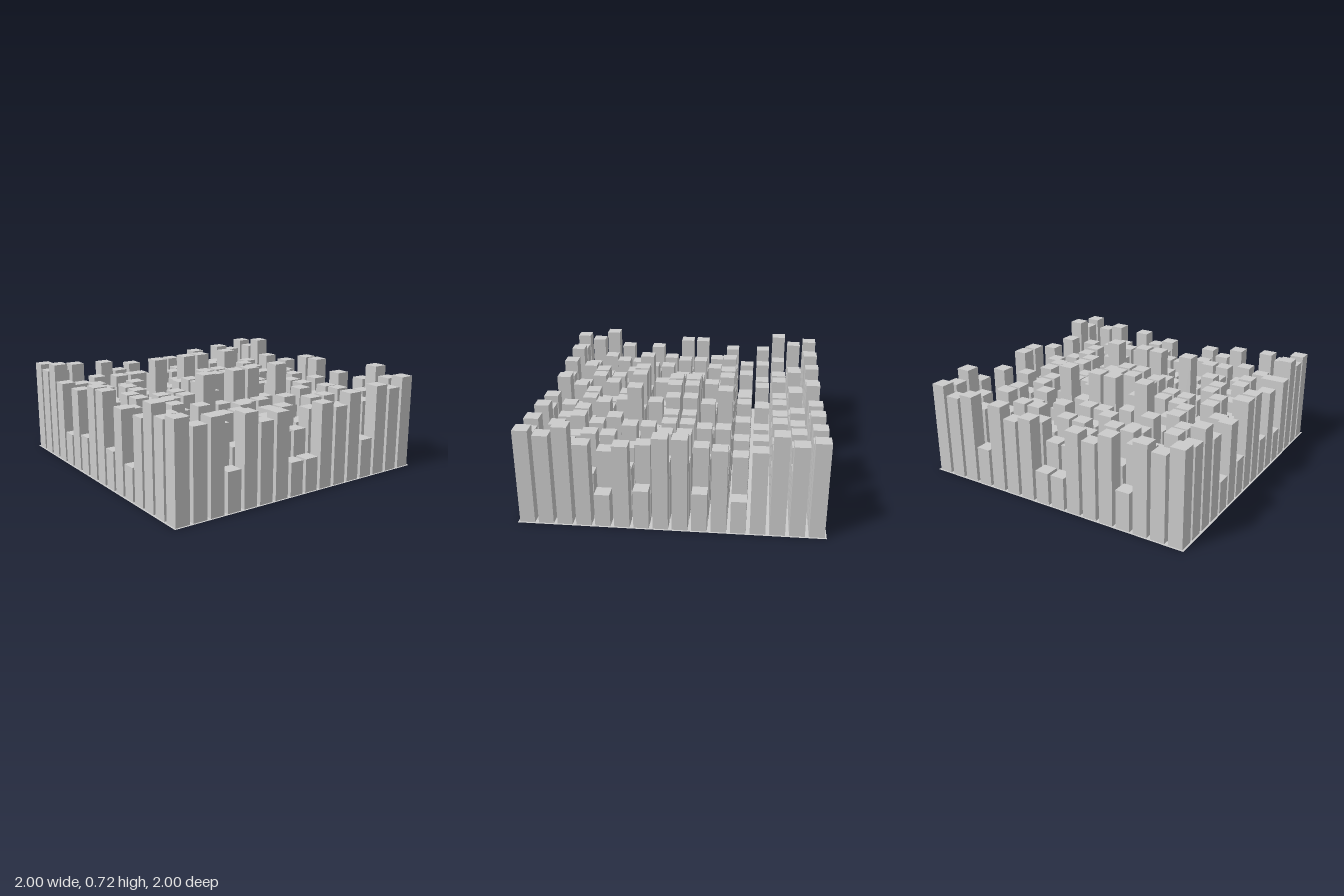
import * as THREE from 'three';
import { mergeGeometries } from 'three/addons/utils/BufferGeometryUtils.js';

const N = 16, PITCH = 2 / N, WIDTH = 0.1;

// One quarter of the block heights, from the outer corner inwards (rows: z, columns: x)
const HEIGHTS = [
  [0.66, 0.63, 0.695, 0.58, 0.23, 0.58, 0.27, 0.645],
  [0.595, 0.40, 0.53, 0.31, 0.48, 0.36, 0.535, 0.42],
  [0.63, 0.50, 0.35, 0.54, 0.535, 0.45, 0.38, 0.56],
  [0.27, 0.535, 0.46, 0.40, 0.33, 0.55, 0.55, 0.36],
  [0.615, 0.37, 0.55, 0.50, 0.55, 0.41, 0.46, 0.52],
  [0.54, 0.48, 0.55, 0.36, 0.44, 0.72, 0.40, 0.53],
  [0.58, 0.52, 0.40, 0.55, 0.38, 0.50, 0.565, 0.605],
  [0.23, 0.395, 0.525, 0.45, 0.52, 0.72, 0.43, 0.65],
];

const centre = (i) => (i + 0.5) * PITCH - 1;
const mirrored = (i) => Math.min(i, N - 1 - i);

// Hollow block, open at the bottom
function hollowBlock(x, z, height) {
  const g = new THREE.BoxGeometry(WIDTH, height, WIDTH);
  const index = Array.from(g.index.array);
  index.splice(18, 6); // remove the bottom face
  g.setIndex(index);
  g.clearGroups();
  return g.translate(x, height / 2, z);
}

// Flat sheet with a square opening under every block
function baseSheet() {
  const shape = new THREE.Shape([
    new THREE.Vector2(-1, -1), new THREE.Vector2(1, -1),
    new THREE.Vector2(1, 1), new THREE.Vector2(-1, 1),
  ]);
  const r = WIDTH / 2;
  for (let i = 0; i < N; i++) {
    for (let j = 0; j < N; j++) {
      const x = centre(i), y = centre(j);
      shape.holes.push(new THREE.Path([
        new THREE.Vector2(x - r, y - r), new THREE.Vector2(x - r, y + r),
        new THREE.Vector2(x + r, y + r), new THREE.Vector2(x + r, y - r),
      ]));
    }
  }
  return new THREE.ShapeGeometry(shape).rotateX(-Math.PI / 2);
}

export function createModel() {
  const group = new THREE.Group();
  group.name = 'skylineDiffuser';
  const material = new THREE.MeshStandardMaterial({ color: 0xcccccc, side: THREE.DoubleSide });

  const base = new THREE.Mesh(baseSheet(), material);
  base.name = 'baseSheet';
  group.add(base);

  // One mesh for each row of blocks
  for (let j = 0; j < N; j++) {
    const blocks = [];
    for (let i = 0; i < N; i++) {
      blocks.push(hollowBlock(centre(i), centre(j), HEIGHTS[mirrored(j)][mirrored(i)]));
    }
    const row = new THREE.Mesh(mergeGeometries(blocks), material);
    row.name = `blockRow${j + 1}`;
    group.add(row);
  }
  return group;
}
